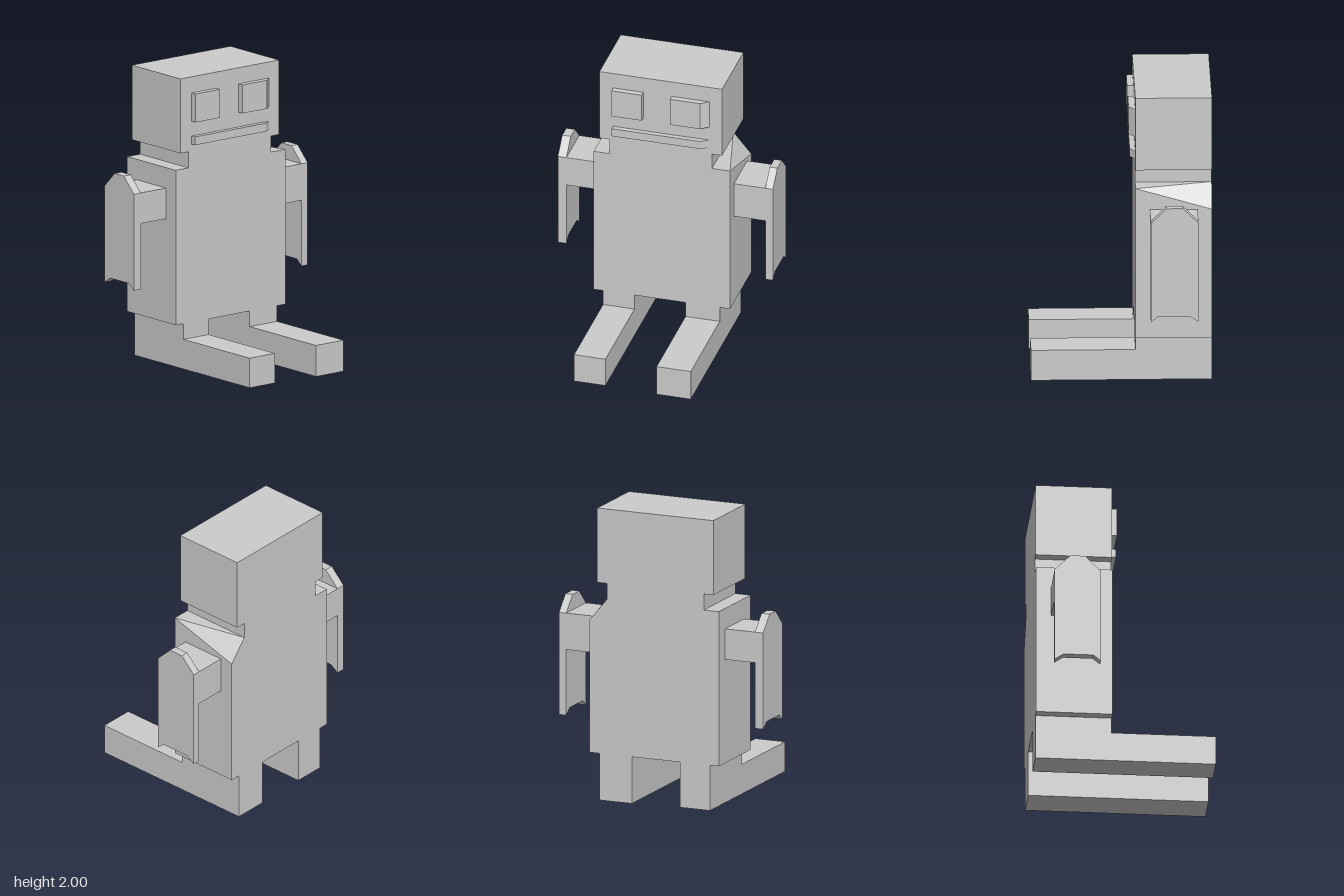
import * as THREE from 'three';
import { ConvexGeometry } from 'three/addons/geometries/ConvexGeometry.js';

const mat = new THREE.MeshStandardMaterial({ color: 0xcccccc, flatShading: true });
const BACK = -0.605, FRONT = -0.095;

function add(parent, name, geometry) {
  const mesh = new THREE.Mesh(geometry, mat);
  mesh.name = name;
  parent.add(mesh);
  return mesh;
}

// Box given by its min and max on each axis
function block(parent, name, [x0, x1], [y0, y1], [z0, z1]) {
  const g = new THREE.BoxGeometry(x1 - x0, y1 - y0, z1 - z0);
  g.translate((x0 + x1) / 2, (y0 + y1) / 2, (z0 + z1) / 2);
  return add(parent, name, g);
}

// Flat outline in (x, z), extruded upwards from y0 to y1
function plan(parent, name, outline, y0, y1) {
  const shape = new THREE.Shape(outline.map(([x, z]) => new THREE.Vector2(x, -z)));
  const g = new THREE.ExtrudeGeometry(shape, { depth: y1 - y0, bevelEnabled: false });
  g.rotateX(-Math.PI / 2).translate(0, y0, 0);
  return add(parent, name, g);
}

// Arm: a horizontal block ending in an upright plate with a clipped top and notched foot
function arm(name, inner, plateIn, outer, [y0, y1], [z0, z1], tipY, topY) {
  const group = new THREE.Group();
  group.name = name;
  const xs = [inner, plateIn].sort((a, b) => a - b);
  block(group, 'upperArm', xs, [y0, y1], [z0, z1]);
  const outline = [
    [z1, tipY], [z1 - 0.05, tipY + 0.04], [z0 + 0.06, tipY + 0.04], [z0, tipY],
    [z0, y1], [z0 + 0.105, topY], [z1 - 0.105, topY], [z1, y1],
  ];
  const shape = new THREE.Shape(outline.map(([z, y]) => new THREE.Vector2(-z, y)));
  const g = new THREE.ExtrudeGeometry(shape, { depth: Math.abs(outer - plateIn), bevelEnabled: false });
  g.rotateY(Math.PI / 2).translate(Math.min(plateIn, outer), 0, 0);
  add(group, 'hand', g);
  return group;
}

// Leg with a long foot reaching forward
function leg(name, xs, y0) {
  const group = new THREE.Group();
  group.name = name;
  block(group, 'shin', xs, [0.21, 0.32], [BACK, FRONT]);
  block(group, 'foot', xs, [y0, 0.213], [BACK, 0.6]);
  return group;
}

export function createModel() {
  const model = new THREE.Group();
  model.name = 'blockRobot';

  // Torso with one rear shoulder corner sliced off
  const corners = [
    [-0.47, 0.32, BACK], [-0.47, 0.32, FRONT], [0.475, 0.32, BACK], [0.475, 0.32, FRONT],
    [-0.47, 1.38, BACK], [-0.47, 1.38, FRONT], [0.475, 1.38, FRONT],
    [0.35, 1.38, BACK], [0.475, 1.23, BACK],
  ];
  add(model, 'torso', new ConvexGeometry(corners.map((c) => new THREE.Vector3(...c))));

  // Neck and head
  block(model, 'neck', [-0.36, 0.35], [1.38, 1.49], [BACK, FRONT]);
  block(model, 'head', [-0.43, 0.42], [1.49, 2], [BACK, FRONT]);

  // Face: the left eye and the mouth slope away at their outer end
  block(model, 'rightEye', [-0.335, -0.125], [1.695, 1.89], [FRONT, -0.053]);
  plan(model, 'leftEye', [[0.07, FRONT], [0.07, -0.053], [0.28, -0.053], [0.332, FRONT]], 1.695, 1.89);
  plan(model, 'mouth', [[-0.335, FRONT], [-0.335, -0.06], [0.28, -0.06], [0.332, FRONT]], 1.538, 1.595);

  // Arms
  model.add(arm('rightArm', -0.47, -0.688, -0.748, [1.03, 1.24], [-0.505, -0.197], 0.58, 1.345));
  model.add(arm('leftArm', 0.475, 0.692, 0.745, [0.98, 1.23], [-0.508, -0.19], 0.53, 1.335));

  // Legs
  model.add(leg('rightLeg', [-0.405, -0.187], 0.01));
  model.add(leg('leftLeg', [0.167, 0.404], 0));

  return model;
}
